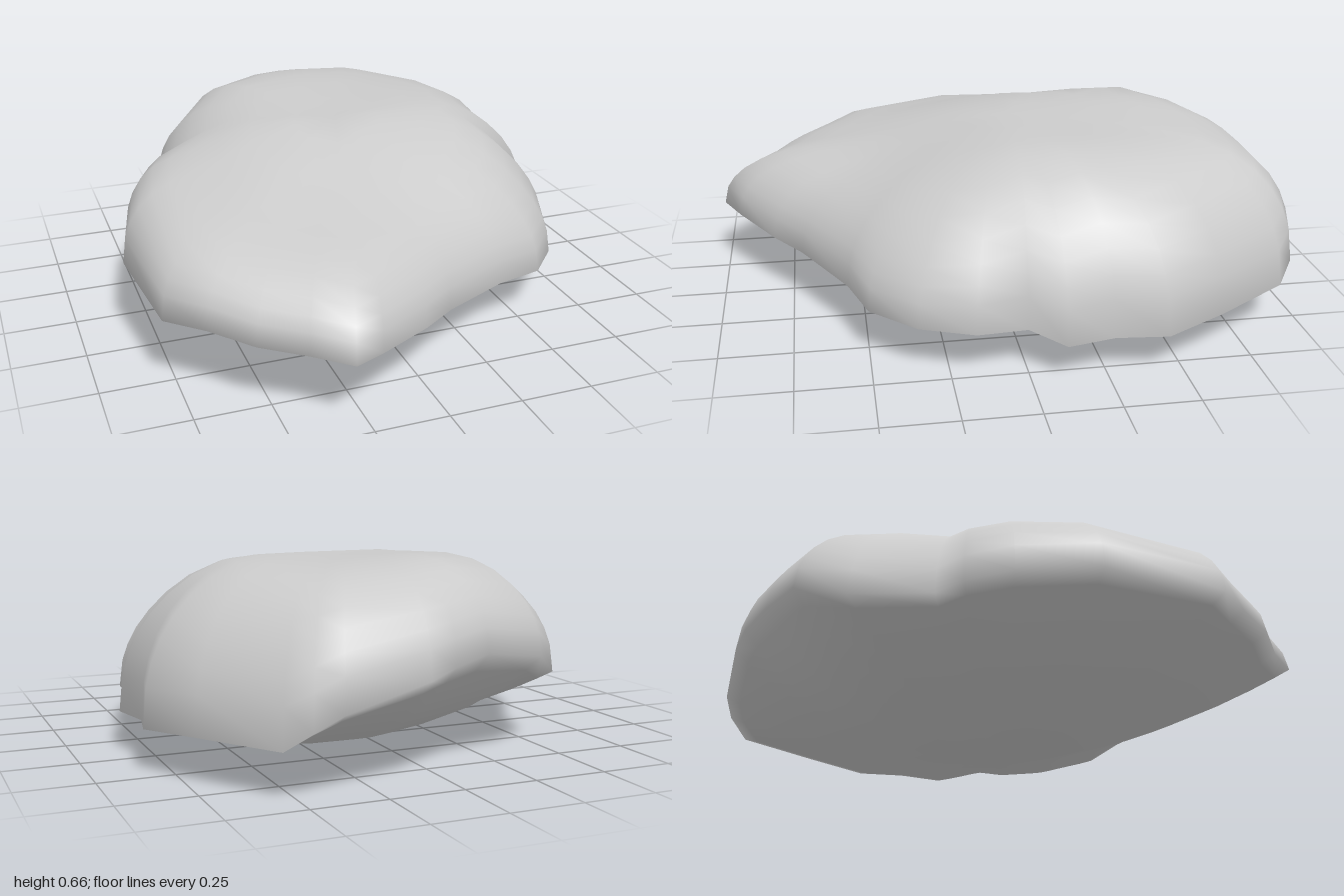
import * as THREE from 'three';

// Widest line of the boulder: x, z, height, squareness of the upper shoulder
const RIM = [
  [-0.31, 1, 0.24, 4], [-0.20, 0.94, 0.23, 4], [0, 0.81, 0.21, 4], [0.13, 0.71, 0.20, 4],
  [0.39, 0.56, 0.18, 4], [0.57, 0.50, 0.17, 4], [0.70, 0.35, 0.16, 4], [0.77, 0.17, 0.16, 4.5],
  [0.74, 0, 0.15, 5], [0.835, -0.11, 0.13, 5], [0.80, -0.27, 0.13, 6], [0.835, -0.44, 0.14, 6],
  [0.73, -0.65, 0.15, 6], [0.55, -0.92, 0.15, 5], [0.48, -0.98, 0.21, 5], [0.39, -1, 0.26, 5.5],
  [0.10, -0.97, 0.33, 6], [0, -0.94, 0.36, 6], [-0.15, -0.87, 0.38, 6], [-0.40, -0.78, 0.34, 6],
  [-0.56, -0.61, 0.25, 6], [-0.64, -0.34, 0.24, 6], [-0.72, -0.26, 0.25, 7], [-0.78, -0.11, 0.27, 8],
  [-0.84, 0.16, 0.28, 8], [-0.795, 0.57, 0.26, 7], [-0.68, 0.68, 0.26, 6], [-0.56, 0.81, 0.25, 5],
  [-0.42, 0.90, 0.24, 4.5],
];

const step = THREE.MathUtils.smoothstep;

// Height of the upper face: low at the front and both sides, a hump at the back
function upperHeight(x, z) {
  const front = step(z, -0.1, 0.6);
  const side = step(-x, 0.2, 0.6);
  const hump = Math.exp(-((x + 0.18) ** 2 + (z + 0.58) ** 2) / 0.08);
  const drop = 0.13 * (1 - (1 - front) * (1 - 0.65 * side)) + 0.07 * step(x, 0.4, 0.8);
  return 0.645 - drop + 0.027 * hump;
}

function boulderGeometry() {
  const top = [0, -0.05], base = [0.25, 0.03];
  const upper = [0, 0.2, 0.4, 0.55, 0.68, 0.78, 0.86, 0.92, 0.96, 0.985, 1];
  const lower = [0.95, 0.87, 0.76, 0.6, 0.4, 0.2, 0];
  const n = RIM.length, positions = [], index = [];
  const lerp = THREE.MathUtils.lerp;

  // Upper rings swell from the rim to the top
  for (const s of upper) {
    for (const [rx, rz, ry, power] of RIM) {
      const x = lerp(top[0], rx, s), z = lerp(top[1], rz, s);
      const rise = Math.sqrt(1 - s ** power);
      positions.push(x, lerp(ry, upperHeight(x, z), rise), z);
    }
  }
  // Lower rings form a shallow bowl, steeper where the rim is high
  for (const s of lower) {
    for (const [rx, rz, ry] of RIM) {
      positions.push(lerp(base[0], rx, s), ry * s ** (9 * ry), lerp(base[1], rz, s));
    }
  }

  const rings = upper.length + lower.length;
  for (let r = 0; r < rings - 1; r++) {
    for (let i = 0; i < n; i++) {
      const j = (i + 1) % n;
      const a = r * n + i, b = r * n + j, c = a + n, d = b + n;
      if (r < rings - 2) index.push(a, c, d);
      else index.push(a, c, b);
      if (r > 0 && r < rings - 2) index.push(a, d, b);
    }
  }

  const geometry = new THREE.BufferGeometry();
  geometry.setAttribute('position', new THREE.Float32BufferAttribute(positions, 3));
  geometry.setIndex(index);
  geometry.computeVertexNormals();
  // All vertices at the two poles share one normal
  const normals = geometry.attributes.normal;
  for (let i = 0; i < n; i++) {
    normals.setXYZ(i, 0, 1, 0);
    normals.setXYZ((rings - 1) * n + i, 0, -1, 0);
  }
  return geometry;
}

export function createModel() {
  const group = new THREE.Group();
  group.name = 'rock';
  const boulder = new THREE.Mesh(
    boulderGeometry(),
    new THREE.MeshStandardMaterial({ color: 0xcccccc })
  );
  boulder.name = 'boulder';
  group.add(boulder);
  return group;
}
